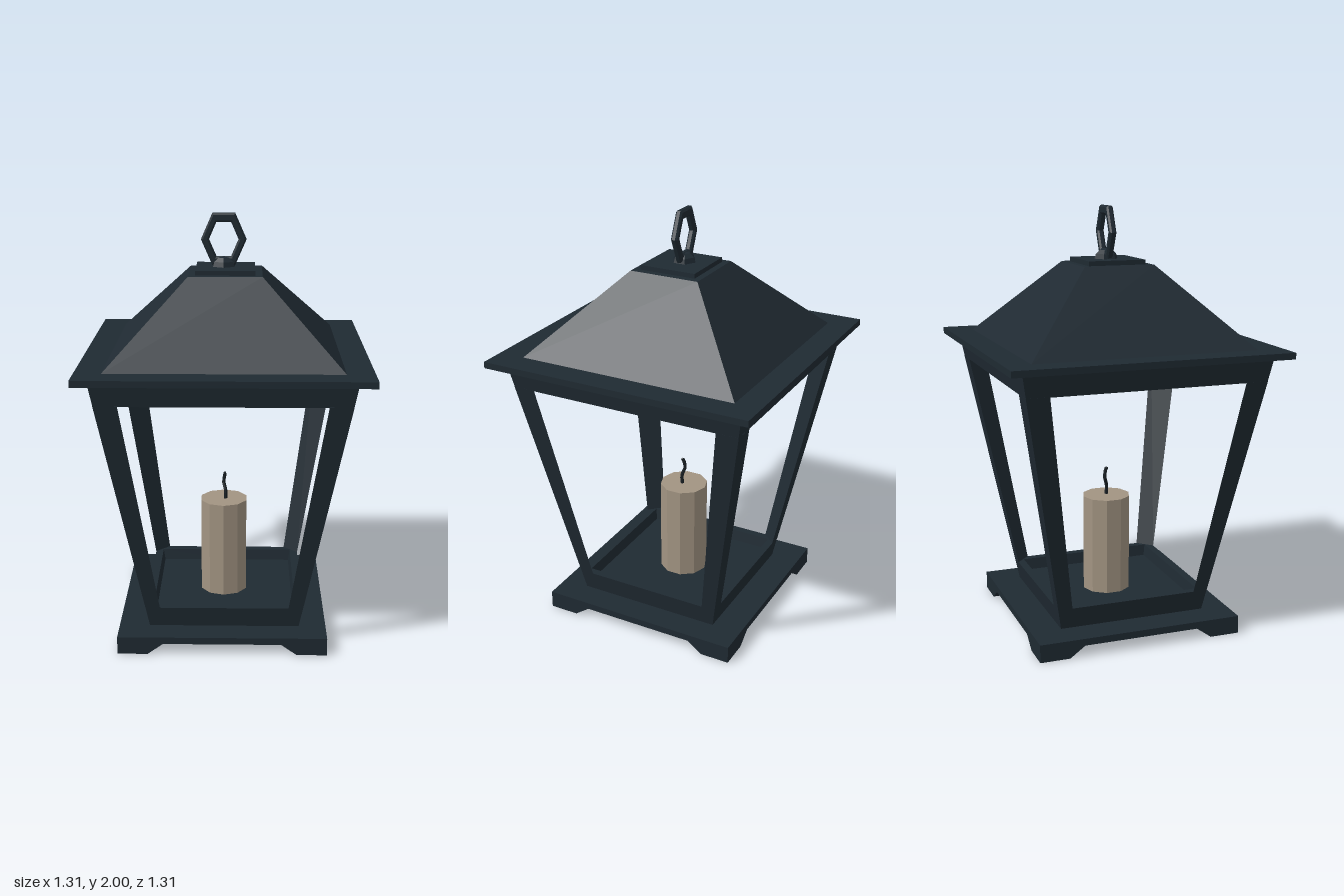
import * as THREE from 'three';

const iron = new THREE.MeshStandardMaterial({ color: 0x1f2a32, flatShading: true });
iron.name = 'dark iron';
const wax = new THREE.MeshStandardMaterial({ color: 0xa29482, flatShading: true });
wax.name = 'candle wax';
const char = new THREE.MeshStandardMaterial({ color: 0x192025, flatShading: true });
char.name = 'charred wick';

const C = -0.012; // the base, candle and handle sit slightly off centre

function mesh(name, geometry, material, x = 0, y = 0, z = 0) {
  const m = new THREE.Mesh(geometry, material);
  m.name = name;
  m.position.set(x, y, z);
  return m;
}

// Move every vertex by a rule that returns its new [x, y, z]
function reshape(geometry, rule) {
  const p = geometry.attributes.position;
  for (let i = 0; i < p.count; i++) {
    p.setXYZ(i, ...rule(p.getX(i), p.getY(i), p.getZ(i)));
  }
  geometry.computeVertexNormals();
  return geometry;
}

// Square block whose half width changes from w0 (at y0) to w1 (at y1)
function taper(w0, w1, y0, y1) {
  return reshape(new THREE.BoxGeometry(2, 1, 2), (x, y, z) => {
    const w = y < 0 ? w0 : w1;
    return [x * w, y < 0 ? y0 : y1, z * w];
  });
}

function polygon(Type, points) {
  return new Type(points.map(([x, y]) => new THREE.Vector2(x, y)));
}

function square(Type, w) {
  return polygon(Type, [[-w, -w], [w, -w], [w, w], [-w, w]]);
}

// Upright prism of unit height over an outline
function prism(shape) {
  return new THREE.ExtrudeGeometry(shape, { depth: 1, bevelEnabled: false }).rotateX(-Math.PI / 2);
}

// Leaning three-sided corner post with its diagonal face inwards
function postGeometry() {
  const triangle = polygon(THREE.Shape, [[1, -1], [1, 0], [0, -1]]);
  return reshape(prism(triangle), (x, y, z) => {
    const top = y > 0.5;
    const outer = top ? 0.567 : 0.374;
    const inner = top ? 0.46 : 0.305;
    return [x > 0.5 ? outer : inner, top ? 1.232 : 0.183, z > 0.5 ? outer : inner];
  });
}

// Low rail around the floor
function railGeometry() {
  const shape = square(THREE.Shape, 1);
  shape.holes.push(square(THREE.Path, 0.9));
  return reshape(prism(shape), (x, y, z) => {
    const w = y < 0.5 ? 0.355 : 0.374;
    return [x * w, y < 0.5 ? 0.08 : 0.185, z * w];
  });
}

// Corner foot: straight outside, sloping inside
function footGeometry() {
  return reshape(new THREE.BoxGeometry(1, 1, 1), (x, y, z) => {
    const inner = y < 0 ? 0.35 : 0.275;
    return [x > 0 ? 0.492 : inner, y < 0 ? 0 : 0.054, z > 0 ? 0.492 : inner];
  });
}

function hexagon(Type, rx, ry) {
  const pts = [];
  for (let i = 0; i < 6; i++) {
    const a = i * Math.PI / 3;
    pts.push([Math.cos(a) * rx, Math.sin(a) * ry]);
  }
  return polygon(Type, pts);
}

export function createModel() {
  const lantern = new THREE.Group();
  lantern.name = 'lantern';

  // Base with four feet
  const base = new THREE.Group();
  base.name = 'base';
  base.position.set(C, 0, C);
  base.add(mesh('basePlate', taper(0.492, 0.492, 0.052, 0.085), iron));
  const foot = footGeometry();
  for (let i = 0; i < 4; i++) {
    const f = mesh('foot', foot, iron);
    f.rotation.y = i * Math.PI / 2;
    base.add(f);
  }
  lantern.add(base);

  // Four leaning posts between the floor rail and the ceiling
  const body = new THREE.Group();
  body.name = 'frame';
  body.position.set(-0.004, 0, -0.004);
  const post = postGeometry();
  for (let i = 0; i < 4; i++) {
    const p = mesh('cornerPost', post, iron);
    p.rotation.y = i * Math.PI / 2;
    body.add(p);
  }
  body.add(mesh('floorRail', railGeometry(), iron));
  body.add(mesh('floor', taper(0.335, 0.335, 0.08, 0.13), iron));
  body.add(mesh('ceiling', taper(0.566, 0.585, 1.23, 1.335), iron));
  lantern.add(body);

  // Roof
  const roof = new THREE.Group();
  roof.name = 'roof';
  roof.add(mesh('eaveUnderside', taper(0.585, 0.653, 1.327, 1.34), iron));
  roof.add(mesh('eave', taper(0.655, 0.655, 1.34, 1.37), iron));
  roof.add(mesh('roofSlope', taper(0.532, 0.17, 1.369, 1.733), iron, -0.002, 0, -0.002));
  roof.add(mesh('roofCap', taper(0.138, 0.138, 1.73, 1.755), iron, -0.003, 0, -0.003));
  lantern.add(roof);

  // Hanging ring on a faceted knob
  const knob = new THREE.SphereGeometry(0.058, 6, 3, 0, Math.PI * 2, 0, Math.PI / 2);
  knob.rotateY(Math.PI / 2).scale(1, 0.85, 1);
  lantern.add(mesh('knob', knob, iron, C, 1.753, C));
  const ringShape = hexagon(THREE.Shape, 0.106, 0.139);
  ringShape.holes.push(hexagon(THREE.Path, 0.069, 0.091));
  const ring = new THREE.ExtrudeGeometry(ringShape, {
    depth: 0.016, bevelThickness: 0.008, bevelSize: 0.008, bevelOffset: -0.008, bevelSegments: 1,
  });
  ring.translate(0, 0, -0.008);
  lantern.add(mesh('hangingRing', ring, iron, C, 1.88, C));

  // Candle and bent wick
  const candle = new THREE.Group();
  candle.name = 'candle';
  candle.position.set(C, 0, C);
  const stick = new THREE.CylinderGeometry(0.117, 0.117, 0.477, 10);
  candle.add(mesh('candleStick', stick, wax, 0, 0.3635, 0));
  const path = new THREE.CatmullRomCurve3([
    new THREE.Vector3(0.008, 0.595, 0.004), new THREE.Vector3(0.008, 0.645, 0.006),
    new THREE.Vector3(-0.002, 0.685, -0.006), new THREE.Vector3(0.002, 0.712, -0.004),
    new THREE.Vector3(0.005, 0.735, 0.004),
  ]);
  candle.add(mesh('wick', new THREE.TubeGeometry(path, 8, 0.009, 5), char));
  const tip = new THREE.SphereGeometry(0.009, 5, 3);
  candle.add(mesh('wickTip', tip, char, 0.005, 0.732, 0.004));
  lantern.add(candle);

  return lantern;
}
